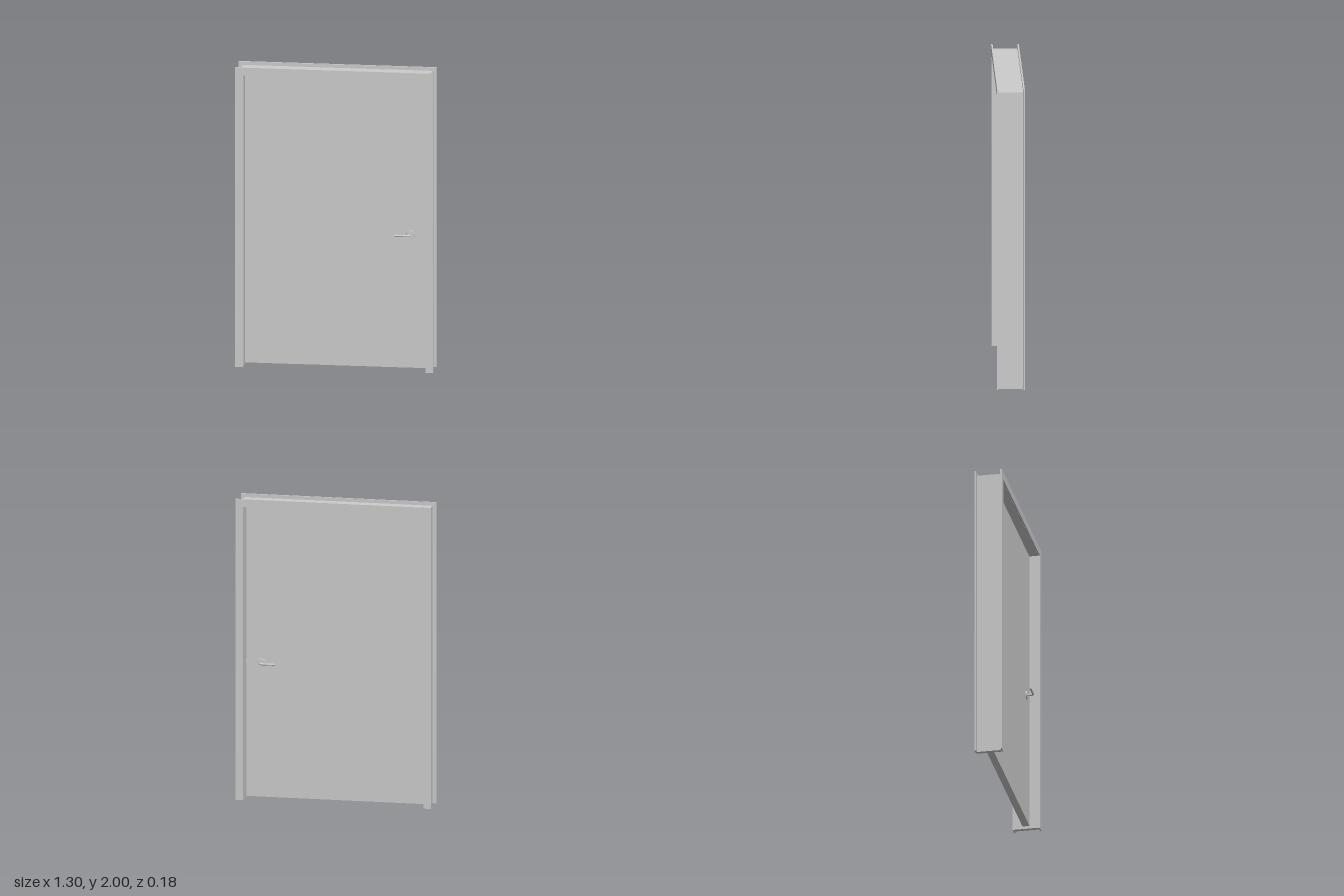
import * as THREE from 'three';

const mat = new THREE.MeshStandardMaterial({ color: 0xcccccc });

function add(parent, name, geometry, x, y, z) {
  const mesh = new THREE.Mesh(geometry, mat);
  mesh.name = name;
  mesh.position.set(x, y, z);
  parent.add(mesh);
  return mesh;
}

// Box given by its limits on each axis
function box(parent, name, [x0, x1], [y0, y1], [z0, z1]) {
  return add(parent, name, new THREE.BoxGeometry(x1 - x0, y1 - y0, z1 - z0),
    (x0 + x1) / 2, (y0 + y1) / 2, (z0 + z1) / 2);
}

// Lever handle facing +z, lever pointing to -x
function createHandle() {
  const handle = new THREE.Group();
  const rose = new THREE.CylinderGeometry(0.026, 0.028, 0.008, 32).rotateX(Math.PI / 2);
  add(handle, 'rose', rose, 0, 0, 0.004);
  const path = new THREE.CurvePath();
  const v = (x, z) => new THREE.Vector3(x, 0, z);
  path.add(new THREE.LineCurve3(v(0, 0), v(0, 0.034)));
  path.add(new THREE.QuadraticBezierCurve3(v(0, 0.034), v(0, 0.046), v(-0.012, 0.046)));
  path.add(new THREE.LineCurve3(v(-0.012, 0.046), v(-0.096, 0.046)));
  add(handle, 'lever', new THREE.TubeGeometry(path, 40, 0.007, 12), 0, 0, 0);
  add(handle, 'leverTip', new THREE.SphereGeometry(0.007, 12, 8), -0.096, 0, 0.046);
  return handle;
}

export function createModel() {
  const door = new THREE.Group();
  door.name = 'door';

  // Frame lining: two jambs and a head
  const frame = new THREE.Group();
  frame.name = 'frame';
  door.add(frame);
  const depth = [-0.08, 0.08];
  box(frame, 'rightJamb', [-0.622, -0.596], [0, 1.977], depth);
  box(frame, 'leftJamb', [0.596, 0.622], [0, 1.977], depth);
  box(frame, 'headJamb', [-0.596, 0.596], [1.947, 1.977], depth);

  // Casing on both faces, uprights running past the head piece
  for (const [side, z] of [['front', [0.08, 0.09]], ['back', [-0.09, -0.08]]]) {
    box(frame, side + 'RightCasing', [-0.648, -0.598], [0, 2], z);
    box(frame, side + 'LeftCasing', [0.598, 0.648], [0, 2], z);
    box(frame, side + 'HeadCasing', [-0.598, 0.598], [1.948, 2], z);
  }

  // Door leaf with a small gap all round
  box(door, 'leaf', [-0.592, 0.588], [0.015, 1.941], [-0.023, 0.023]);
  box(door, 'latch', [0.588, 0.597], [0.893, 0.915], [-0.008, 0.008]);

  // Handles on both faces, levers pointing the same way
  for (const s of [1, -1]) {
    const handle = createHandle();
    handle.name = s > 0 ? 'frontHandle' : 'backHandle';
    handle.position.set(0.49, 0.905, s * 0.023);
    if (s < 0) handle.rotation.x = Math.PI;
    door.add(handle);
  }
  return door;
}
